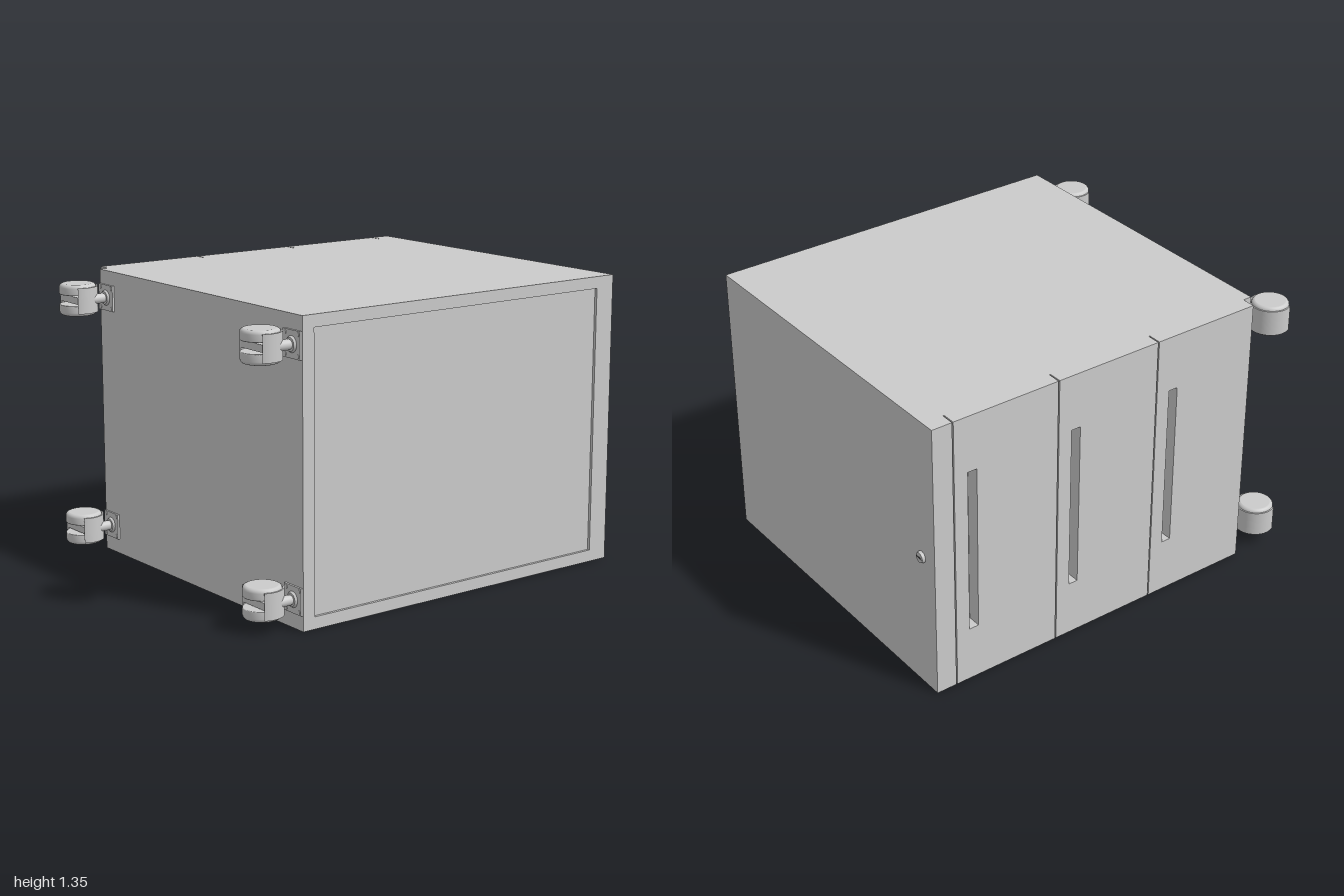
import * as THREE from 'three';

const grey = new THREE.MeshStandardMaterial({ color: 0xcccccc });
const topGrey = new THREE.MeshStandardMaterial({ color: 0xd5d8d6 });

function add(parent, name, geometry, material = grey) {
  const mesh = new THREE.Mesh(geometry, material);
  mesh.name = name;
  parent.add(mesh);
  return mesh;
}

// Box given by its minimum and maximum corners
function block(parent, name, [x0, y0, z0], [x1, y1, z1], material) {
  const mesh = add(parent, name, new THREE.BoxGeometry(x1 - x0, y1 - y0, z1 - z0), material);
  mesh.position.set((x0 + x1) / 2, (y0 + y1) / 2, (z0 + z1) / 2);
  return mesh;
}

function rectangle(PathClass, x0, y0, x1, y1) {
  const p = new PathClass();
  p.moveTo(x0, y0).lineTo(x1, y0).lineTo(x1, y1).lineTo(x0, y1).closePath();
  return p;
}

const HEIGHT = 1.35;
const BACK = -0.745; // plane where the drawer fronts meet the carcass

// Drawer front with a tall slot for the fingers
function makeDrawerFront(z0, z1) {
  const shape = rectangle(THREE.Shape, z0, 0, z1, HEIGHT);
  shape.holes.push(rectangle(THREE.Path, z0 + 0.068, 0.27, z0 + 0.115, 1.08));
  const geo = new THREE.ExtrudeGeometry(shape, { depth: 0.065, bevelEnabled: false });
  return geo.rotateY(-Math.PI / 2).translate(BACK, 0, 0);
}

// Shape in the x-z plane given thickness along y, centred on y = 0
function slab(shape, thickness) {
  const geo = new THREE.ExtrudeGeometry(shape, { depth: thickness, bevelEnabled: false, curveSegments: 40 });
  return geo.rotateX(Math.PI / 2).translate(0, thickness / 2, 0);
}

// Twin-wheel caster, origin at the wheel centre, mounting plate towards -z
function makeCaster() {
  const caster = new THREE.Group();
  caster.name = 'caster';

  const profile = [
    [0, 0.024], [0.08, 0.024], [0.083, 0.024], [0.085, 0.027], [0.085, 0.056],
    [0.083, 0.064], [0.078, 0.07], [0.071, 0.073], [0.069, 0.073], [0, 0.073],
  ].map(([r, y]) => new THREE.Vector2(r, y));
  for (const turn of [0, Math.PI]) {
    add(caster, 'wheel', new THREE.LatheGeometry(profile, 48)).rotation.x = turn;
  }
  add(caster, 'axle', new THREE.CylinderGeometry(0.015, 0.015, 0.06, 20));

  // Hood wraps the side of the wheels nearest the cabinet
  const a0 = Math.PI * 5 / 6, a1 = Math.PI * 13 / 6;
  const hood = new THREE.Shape();
  hood.absarc(0, 0, 0.093, a0, a1, false);
  hood.absarc(0, 0, 0.086, a1, a0, true);
  hood.closePath();
  add(caster, 'hood', slab(hood, 0.12));
  const web = new THREE.Shape();
  web.absarc(0, 0, 0.088, a0, a1, false);
  web.closePath();
  add(caster, 'centreWeb', slab(web, 0.032));

  // Offset swivel stem with a rounded end
  const stem = add(caster, 'stem', new THREE.CapsuleGeometry(0.023, 0.08, 8, 24));
  stem.rotation.x = Math.PI / 2;
  stem.position.set(0.062, 0, -0.052);

  // Mounting plate with collar and screws
  block(caster, 'mountingPlate', [0.002, -0.06, -0.122], [0.122, 0.06, -0.112]);
  const collar = add(caster, 'collar', new THREE.CylinderGeometry(0.03, 0.036, 0.01, 28));
  collar.rotation.x = Math.PI / 2;
  collar.position.set(0.062, 0, -0.107);
  for (const x of [0.018, 0.107]) {
    for (const y of [-0.046, 0.046]) {
      const screw = add(caster, 'screw', new THREE.CylinderGeometry(0.009, 0.009, 0.004, 16));
      screw.rotation.x = Math.PI / 2;
      screw.position.set(x, y, -0.111);
    }
  }
  return caster;
}

export function createModel() {
  const model = new THREE.Group();
  model.name = 'drawerCabinet';

  // Carcass with a rim around the inset rear panel
  const rim = 0.055, inner = 0.817, outer = 0.83, zTop = -0.885, zBase = 0.79;
  block(model, 'carcass', [BACK, 0, zTop], [inner, HEIGHT, zBase]);
  block(model, 'rimLower', [inner, 0, zTop], [outer, rim, zBase]);
  block(model, 'rimUpper', [inner, HEIGHT - rim, zTop], [outer, HEIGHT, zBase]);
  block(model, 'rimBase', [inner, rim, zBase - 0.06], [outer, HEIGHT - rim, zBase]);

  // Cabinet top
  block(model, 'topPanel', [-0.81, 0, -0.985], [outer, HEIGHT, zTop], topGrey);

  // Three drawer fronts separated by narrow gaps
  for (const [z0, z1] of [[-0.879, -0.343], [-0.337, 0.197], [0.203, 0.745]]) {
    add(model, 'drawerFront', makeDrawerFront(z0, z1));
  }

  // Lock with keyway
  const lock = add(model, 'lock', new THREE.CylinderGeometry(0.024, 0.029, 0.018, 32), topGrey);
  lock.rotation.x = -Math.PI / 2;
  lock.position.set(-0.715, 0.675, -0.99);
  const dark = new THREE.MeshStandardMaterial({ color: 0x444444 });
  block(model, 'keyway', [-0.731, 0.671, -1.0], [-0.699, 0.679, -0.996], dark);

  // Four casters
  for (const x of [-0.745, 0.705]) {
    for (const y of [0.13, 1.224]) {
      const caster = makeCaster();
      caster.position.set(x, y, 0.912);
      model.add(caster);
    }
  }
  return model;
}
